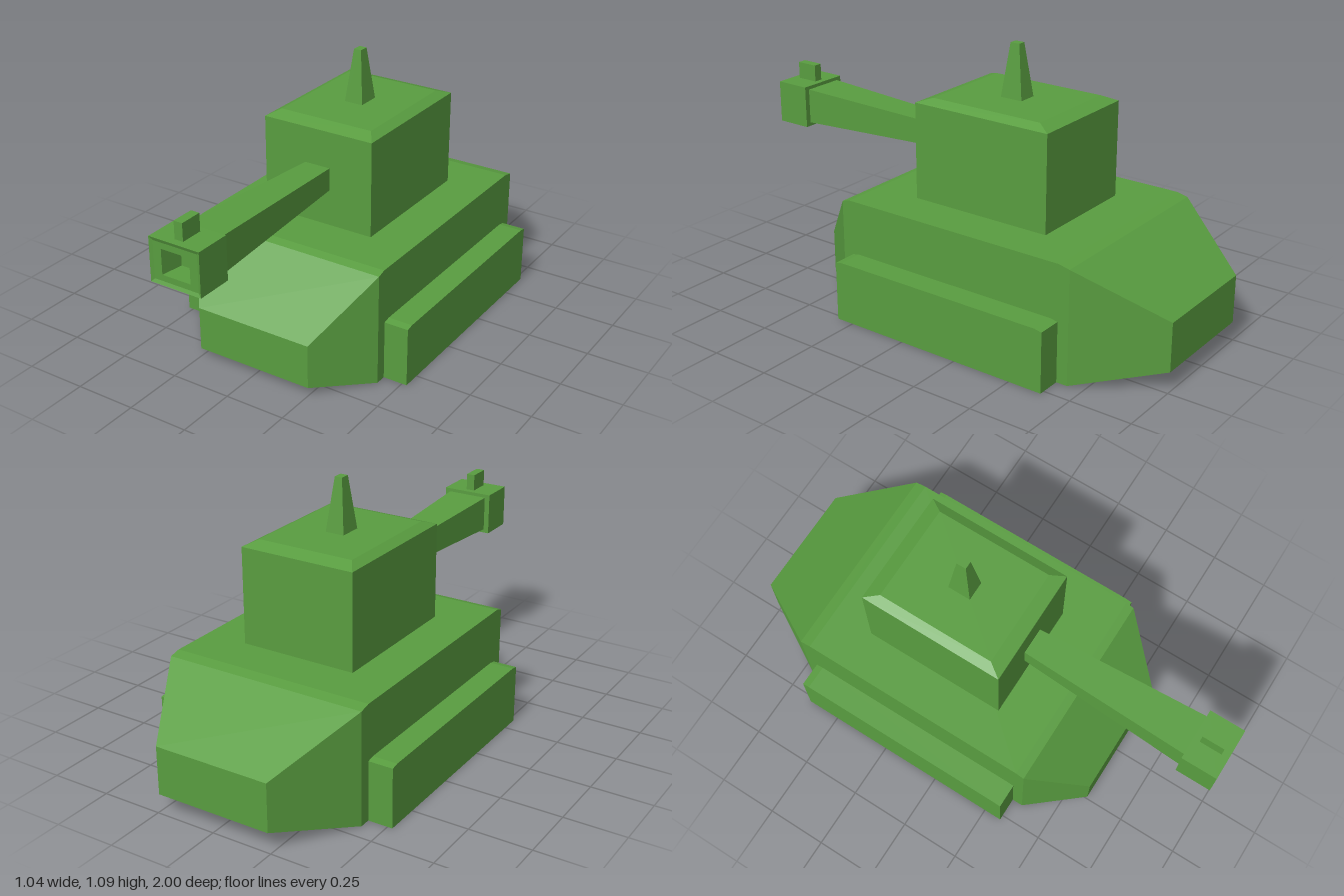
import * as THREE from 'three';

const green = new THREE.MeshStandardMaterial({ color: 0x599d40, flatShading: true });

// Joins rectangular sections [z, halfWidth, yMin, yMax], listed back to front, and caps both ends.
function loft(name, sections) {
  const corners = sections.flatMap(([z, w, y0, y1]) => [-w, y0, z, w, y0, z, w, y1, z, -w, y1, z]);
  const index = [];
  const quad = (a, b, c, d) => index.push(a, b, c, a, c, d);
  quad(0, 3, 2, 1);
  for (let s = 0; s < sections.length - 1; s++) {
    for (let i = 0; i < 4; i++) {
      const a = s * 4 + i, b = s * 4 + (i + 1) % 4;
      quad(a, b, b + 4, a + 4);
    }
  }
  const e = (sections.length - 1) * 4;
  quad(e, e + 1, e + 2, e + 3);
  const indexed = new THREE.BufferGeometry();
  indexed.setAttribute('position', new THREE.Float32BufferAttribute(corners, 3));
  indexed.setIndex(index);
  const geometry = indexed.toNonIndexed();
  geometry.computeVertexNormals();
  const mesh = new THREE.Mesh(geometry, green);
  mesh.name = name;
  return mesh;
}

// Same, but with sections [y, halfWidth, zMin, zMax] stacked upward.
function stack(name, sections) {
  const mesh = loft(name, sections.map(([y, w, z0, z1]) => [y, w, -z1, -z0]));
  mesh.geometry.rotateX(-Math.PI / 2);
  return mesh;
}

export function createModel() {
  const tank = new THREE.Group();
  tank.name = 'tank';

  // Hull with tapered nose and tail
  tank.add(loft('hull', [
    [-1, 0.24, 0.08, 0.275],
    [-0.685, 0.42, 0, 0.457],
    [-0.64, 0.42, 0, 0.467],
    [0.335, 0.42, 0, 0.467],
    [0.37, 0.42, 0, 0.457],
    [0.585, 0.25, 0.035, 0.215],
  ]));

  // Track housings on both sides
  for (const side of [-1, 1]) {
    const track = loft(side > 0 ? 'leftTrack' : 'rightTrack', [
      [-0.64, 0.05, 0, 0.242],
      [-0.61, 0.05, 0, 0.248],
      [0.295, 0.05, 0, 0.248],
      [0.325, 0.05, 0, 0.242],
    ]);
    track.position.x = side * 0.47;
    tank.add(track);
  }

  // Turret with bevelled roof
  tank.add(stack('turret', [
    [0.465, 0.242, -0.463, 0.142],
    [0.857, 0.242, -0.463, 0.142],
    [0.877, 0.203, -0.405, 0.085],
  ]));

  // Tapered antenna
  tank.add(stack('antenna', [
    [0.875, 0.04, -0.208, -0.112],
    [1.09, 0.016, -0.179, -0.139],
  ]));

  // Gun barrel widening toward the muzzle
  tank.add(loft('barrel', [
    [0.13, 0.055, 0.617, 0.708],
    [0.86, 0.086, 0.59, 0.736],
  ]));

  // Muzzle block with shallow rim and hollow bore
  tank.add(loft('muzzle', [
    [0.852, 0.108, 0.575, 0.75],
    [1, 0.108, 0.575, 0.75],
    [0.994, 0.095, 0.588, 0.736],
    [0.994, 0.061, 0.612, 0.712],
    [0.91, 0.045, 0.614, 0.698],
  ]));

  // Gun sight
  tank.add(loft('sight', [
    [0.878, 0.018, 0.74, 0.82],
    [0.97, 0.018, 0.74, 0.82],
  ]));

  return tank;
}
